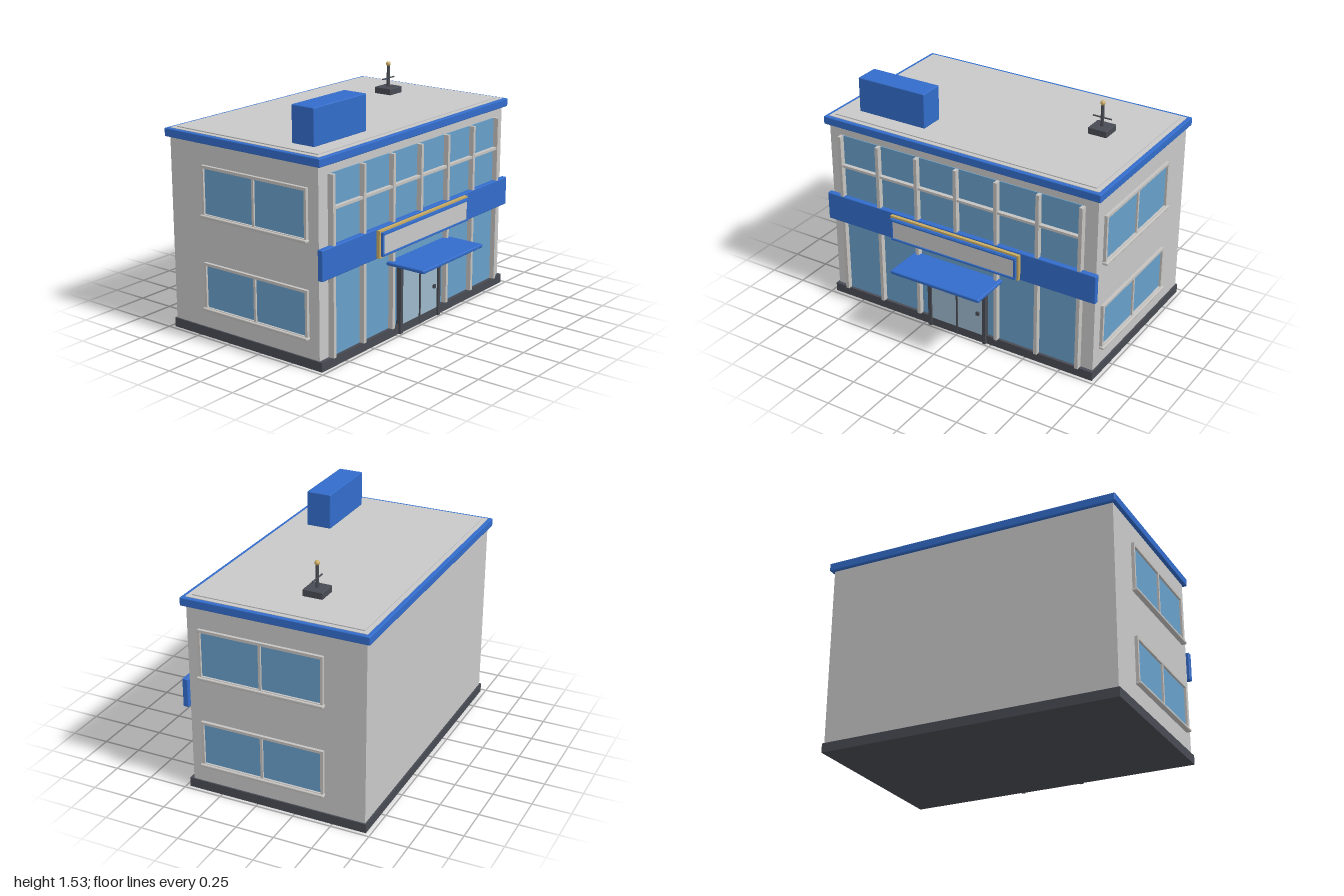
import * as THREE from 'three';
import { RoundedBoxGeometry } from 'three/addons/geometries/RoundedBoxGeometry.js';

const mat = (name, color) => {
  const m = new THREE.MeshStandardMaterial({ color });
  m.name = name;
  return m;
};

export function createModel() {
  const wall = mat('wall grey', 0xc8c8c8);
  const trim = mat('frame grey', 0xc5c3c0);
  const blue = mat('blue', 0x326cca);
  const glass = mat('window glass', 0x689fca);
  const doorGlass = mat('door glass', 0x9cb8cb);
  const dark = mat('charcoal', 0x484b53);
  const gold = mat('gold', 0xc8ab62);

  const model = new THREE.Group();
  model.name = 'officeBuilding';

  const add = (parent, name, geometry, material) => {
    const mesh = new THREE.Mesh(geometry, material);
    mesh.name = name;
    parent.add(mesh);
    return mesh;
  };
  // Box given by its limits on each axis; r rounds the edges
  const box = (parent, name, material, [x0, x1], [y0, y1], [z0, z1], r = 0) => {
    const s = [x1 - x0, y1 - y0, z1 - z0];
    const g = r ? new RoundedBoxGeometry(...s, 2, r) : new THREE.BoxGeometry(...s);
    const mesh = add(parent, name, g, material);
    mesh.position.set((x0 + x1) / 2, (y0 + y1) / 2, (z0 + z1) / 2);
    return mesh;
  };
  const group = (name) => {
    const g = new THREE.Group();
    g.name = name;
    model.add(g);
    return g;
  };
  // Rectangular frame facing +z, made from one shape with a hole
  const frame = (parent, name, material, [x0, x1], [y0, y1], [z0, z1], w) => {
    const rect = (C, a, b, c, d) => new C([[a, c], [b, c], [b, d], [a, d]].map((p) => new THREE.Vector2(...p)));
    const shape = rect(THREE.Shape, x0, x1, y0, y1);
    shape.holes.push(rect(THREE.Path, x0 + w, x1 - w, y0 + w, y1 - w));
    const g = new THREE.ExtrudeGeometry(shape, { depth: z1 - z0, bevelEnabled: false });
    add(parent, name, g, material).position.z = z0;
  };

  // Main volume
  box(model, 'plinth', dark, [-0.975, 0.975], [0, 0.06], [-0.72, 0.475]);
  box(model, 'walls', wall, [-0.965, 0.965], [0.06, 1.25], [-0.71, 0.45]);
  box(model, 'roofTrim', blue, [-0.99, 0.99], [1.24, 1.293], [-0.735, 0.48], 0.006);
  box(model, 'roofDeck', wall, [-0.965, 0.965], [1.25, 1.296], [-0.71, 0.455]);
  box(model, 'roofCap', wall, [-0.935, 0.935], [1.29, 1.302], [-0.68, 0.425]);

  // Glazed front
  const front = group('glassFront');
  box(front, 'frontGlass', glass, [-0.87, 0.87], [0.06, 1.18], [0.45, 0.456]);
  for (const x of [-0.87, -0.58, -0.29, 0, 0.29, 0.58, 0.87]) {
    box(front, 'mullion', trim, [x - 0.0115, x + 0.0115], [x === 0 ? 0.7 : 0.06, 1.18], [0.45, 0.49]);
  }
  box(front, 'transom', trim, [-0.87, 0.87], [0.968, 0.984], [0.45, 0.484]);

  // Blue band and blank sign board
  const sign = group('signBand');
  box(sign, 'band', blue, [-0.985, 0.985], [0.565, 0.755], [0.455, 0.492], 0.006);
  frame(sign, 'goldFrame', gold, [-0.472, 0.472], [0.572, 0.745], [0.485, 0.515], 0.012);
  box(sign, 'signBack', blue, [-0.46, 0.46], [0.584, 0.733], [0.485, 0.522]);
  frame(sign, 'signRim', blue, [-0.46, 0.46], [0.584, 0.733], [0.515, 0.532], 0.014);
  box(sign, 'signPanel', wall, [-0.445, 0.445], [0.598, 0.719], [0.515, 0.53]);
  for (const y of [0.592, 0.725]) {
    box(sign, 'signRail', blue, [-0.455, 0.455], [y - 0.005, y + 0.005], [0.525, 0.539]);
  }

  // Entrance
  const door = group('entrance');
  box(door, 'doorGlass', doorGlass, [-0.195, 0.195], [0.055, 0.43], [0.45, 0.478]);
  for (const s of [-1, 1]) {
    box(door, 'doorPost', dark, [s * 0.205 - 0.012, s * 0.205 + 0.012], [0, 0.45], [0.45, 0.49]);
  }
  box(door, 'doorHead', dark, [-0.217, 0.217], [0.426, 0.45], [0.45, 0.49]);
  box(door, 'doorThreshold', dark, [-0.195, 0.195], [0, 0.055], [0.45, 0.48]);
  box(door, 'doorSplit', dark, [-0.005, 0.005], [0.01, 0.43], [0.45, 0.486]);
  box(door, 'doorHandle', dark, [0.147, 0.167], [0.197, 0.222], [0.47, 0.49]);
  box(door, 'canopy', blue, [-0.325, 0.325], [0.478, 0.502], [0.455, 0.735], 0.008);

  // Side windows, two floors on both sides
  for (const s of [-1, 1]) {
    for (const y of [0.18, 0.8]) {
      const w = group('sideWindow');
      // Built facing +z, then turned to face out along x
      const c = -0.035;
      box(w, 'pane', glass, [-0.4, 0.4], [0.01, 0.295], [0, 0.006]);
      frame(w, 'windowFrame', trim, [-0.409, 0.409], [0, 0.305], [0, 0.02], 0.017);
      box(w, 'windowMullion', trim, [-0.008, 0.008], [0.01, 0.295], [0, 0.018]);
      box(w, 'windowSill', trim, [-0.417, 0.417], [-0.004, 0.014], [0, 0.035], 0.006);
      w.position.set(s * 0.965, y === 0.8 ? 0.781 : 0.182, c);
      if (y === 0.8) w.scale.y = 1.06;
      w.rotation.y = s * Math.PI / 2;
    }
  }

  // Rooftop box and antenna
  box(model, 'roofSignBox', blue, [-0.83, -0.335], [1.3, 1.532], [0.143, 0.31], 0.006);
  const antenna = group('antenna');
  antenna.position.set(0.615, 1.3, -0.23);
  box(antenna, 'antennaBase', dark, [-0.065, 0.065], [0, 0.045], [-0.065, 0.065], 0.005);
  add(antenna, 'mast', new THREE.CylinderGeometry(0.01, 0.012, 0.15, 12), dark).position.y = 0.112;
  const bar = add(antenna, 'crossbar', new THREE.CylinderGeometry(0.005, 0.005, 0.13, 8), dark);
  bar.position.y = 0.102;
  bar.rotation.z = Math.PI / 2;
  add(antenna, 'beacon', new THREE.SphereGeometry(0.016, 16, 12), gold).position.y = 0.199;

  return model;
}
